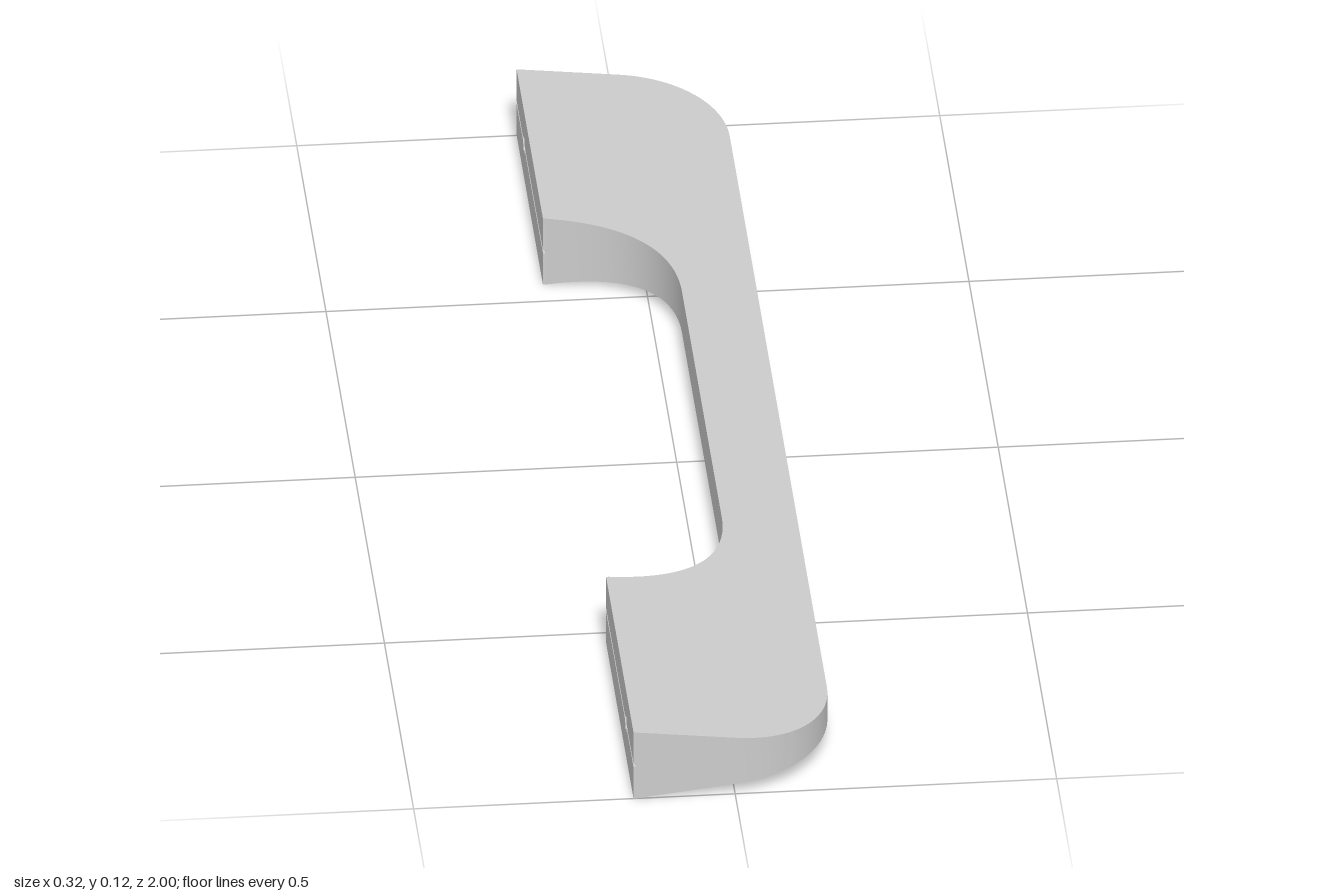
import * as THREE from 'three';
import { toCreasedNormals } from 'three/addons/utils/BufferGeometryUtils.js';

const BACK = -0.158, FRONT = 0.158;  // mounting face and grip face
const SEAT = BACK + 0.004;           // floor of the shallow groove
const MID = 0.06, GAP = 0.003;       // centre height, half groove height
const HOLE_R = 0.014;

const material = new THREE.MeshStandardMaterial({ color: 0xcccccc });
const inside = new THREE.MeshStandardMaterial({ color: 0xcccccc, side: THREE.DoubleSide });

// thickness tapers from the mounting face to the grip
const thickness = x => THREE.MathUtils.mapLinear(x, BACK, FRONT, 0.12, 0.047);

function add(group, name, geometry, mat = material) {
  const mesh = new THREE.Mesh(geometry, mat);
  mesh.name = name;
  group.add(mesh);
}

// C-shaped plan, drawn as (x, -z), extruded up and tapered
function handleGeometry() {
  const s = new THREE.Shape();
  s.moveTo(SEAT, -1);
  s.lineTo(0, -1);
  s.bezierCurveTo(0.09, -1, FRONT, -0.93, FRONT, -0.83);
  s.lineTo(FRONT, 0.83);
  s.bezierCurveTo(FRONT, 0.93, 0.09, 1, 0, 1);
  s.lineTo(SEAT, 1);
  s.lineTo(SEAT, 0.55);
  s.bezierCurveTo(-0.03, 0.545, 0.04, 0.48, 0.04, 0.35);
  s.lineTo(0.04, -0.33);
  s.bezierCurveTo(0.04, -0.46, -0.03, -0.525, SEAT, -0.53);
  s.closePath();
  const g = new THREE.ExtrudeGeometry(s, { depth: 1, bevelEnabled: false, curveSegments: 24 });
  g.rotateX(-Math.PI / 2);
  const p = g.attributes.position;
  const kept = [];
  for (let i = 0; i < p.count; i += 3) {
    // leave the mounting faces open: the drilled pads fill them
    if ([0, 1, 2].every(k => p.getX(i + k) < SEAT + 1e-4)) continue;
    for (let k = i; k < i + 3; k++) {
      const x = p.getX(k);
      kept.push(x, MID + (p.getY(k) - 0.5) * thickness(x), p.getZ(k));
    }
  }
  const out = new THREE.BufferGeometry();
  out.setAttribute('position', new THREE.Float32BufferAttribute(kept, 3));
  return toCreasedNormals(out, 0.5);
}

// turn a drawing in (z, y) so that it faces the back, -x
const faceBack = g => g.rotateY(-Math.PI / 2).translate(SEAT, 0, 0);

// half of a mounting pad, above (side 1) or below (side -1) the groove
function padHalf(z0, z1, hole, side) {
  const s = new THREE.Shape();
  const h = thickness(SEAT) / 2;
  const a = Math.asin(GAP / HOLE_R);
  s.moveTo(z0, MID + side * h);
  s.lineTo(z0, MID + side * GAP);
  for (let i = 0; i <= 16; i++) {
    const t = Math.PI - a - (Math.PI - 2 * a) * i / 16;
    s.lineTo(hole + HOLE_R * Math.cos(t), MID + side * HOLE_R * Math.sin(t));
  }
  s.lineTo(z1, MID + side * GAP);
  s.lineTo(z1, MID + side * h);
  s.closePath();
  return faceBack(new THREE.ExtrudeGeometry(s, { depth: SEAT - BACK, bevelEnabled: false }));
}

// groove floor with the screw hole cut out
function grooveFloor(z0, z1, hole) {
  const h = thickness(SEAT) / 2;
  const s = new THREE.Shape();
  s.moveTo(z0, MID - h);
  s.lineTo(z1, MID - h);
  s.lineTo(z1, MID + h);
  s.lineTo(z0, MID + h);
  s.closePath();
  s.holes.push(new THREE.Path().absarc(hole, MID, HOLE_R, 0, Math.PI * 2, true));
  return faceBack(new THREE.ShapeGeometry(s, 16));
}

export function createModel() {
  const model = new THREE.Group();
  model.name = 'pullHandle';
  add(model, 'handleBody', handleGeometry());

  const feet = [
    { name: 'rearMount', z0: -1, z1: -0.55, hole: -0.875 },
    { name: 'frontMount', z0: 0.53, z1: 1, hole: 0.87 },
  ];
  for (const { name, z0, z1, hole } of feet) {
    const foot = new THREE.Group();
    foot.name = name;
    add(foot, 'upperPad', padHalf(z0, z1, hole, 1));
    add(foot, 'lowerPad', padHalf(z0, z1, hole, -1));
    add(foot, 'grooveFloor', grooveFloor(z0, z1, hole));
    // blind screw hole
    const depth = 0.1;
    add(foot, 'screwHole', new THREE.CylinderGeometry(HOLE_R, HOLE_R, depth, 32, 1, true)
      .rotateZ(Math.PI / 2).translate(SEAT + depth / 2, MID, hole), inside);
    add(foot, 'screwHoleEnd', new THREE.CircleGeometry(HOLE_R, 32)
      .rotateY(-Math.PI / 2).translate(SEAT + depth, MID, hole));
    model.add(foot);
  }
  return model;
}
